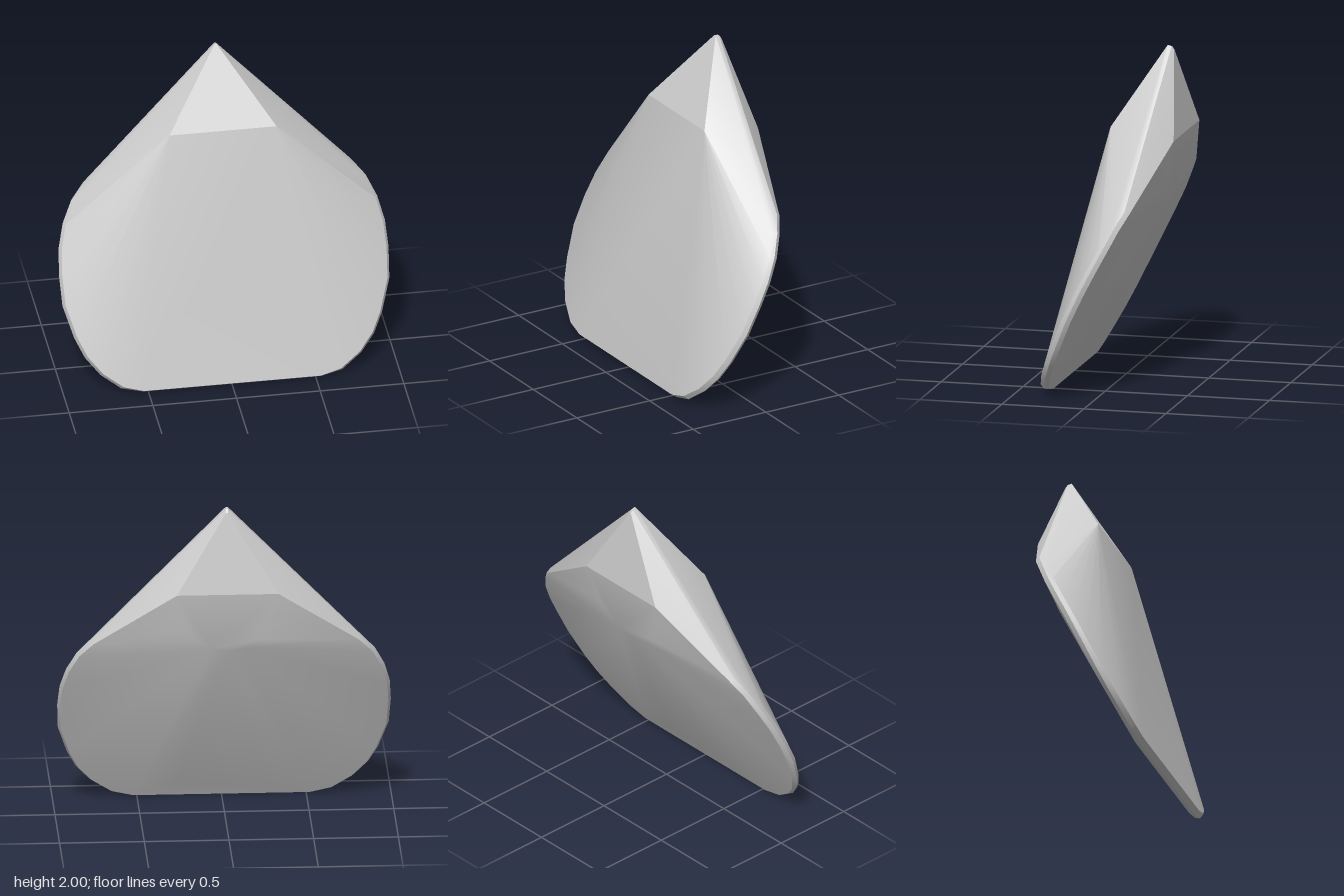
import * as THREE from 'three';
import { ConvexGeometry } from 'three/addons/geometries/ConvexGeometry.js';
import { toCreasedNormals } from 'three/addons/utils/BufferGeometryUtils.js';

export function createModel() {
  const group = new THREE.Group();
  const points = [];
  const add = (x, y, z) => points.push(new THREE.Vector3(x, y, z));
  const mirror = (x, y, z) => { add(x, y, z); add(-x, y, z); };

  // Rounded rim: each outline point gets an outer, a front and a back point
  const rim = [
    [0.80, 1.16, -0.195], [0.88, 1.07, -0.15], [0.94, 0.95, -0.095], [0.975, 0.82, -0.03],
    [0.985, 0.68, 0.04], [0.977, 0.51, 0.12], [0.92, 0.33, 0.2], [0.865, 0.22, 0.25],
    [0.78, 0.12, 0.295], [0.66, 0.035, 0.33], [0.53, 0.004, 0.335],
  ];
  const centre = new THREE.Vector2(0, 0.75);
  for (const [x, y, z] of rim) {
    const inward = centre.clone().sub(new THREE.Vector2(x, y)).normalize().multiplyScalar(0.016);
    mirror(x, y, z);
    mirror(x + inward.x, y + inward.y + 0.01, z + 0.025);
    mirror(x + inward.x, y + inward.y - 0.01, z - 0.025);
  }

  // Blunt tip
  mirror(0.006, 2, -0.25);
  mirror(0.006, 1.995, -0.275);
  mirror(0.006, 1.975, -0.29);

  // Front panel corners
  mirror(0.32, 1.56, 0.015);
  mirror(0.53, 0.025, 0.365);

  // Flat half-round boss on the back
  for (let i = 0; i <= 5; i++) {
    const a = (i / 5) * Math.PI / 2;
    const y = 1.49 - 0.38 * Math.sin(a);
    mirror(0.3 * Math.cos(a), y, -0.365 + (1.49 - y) * 0.197);
  }

  // Bevel along the lower back edge
  mirror(0.26, 0.1, 0.25);

  const geometry = toCreasedNormals(new ConvexGeometry(points), 0.3);
  const body = new THREE.Mesh(geometry, new THREE.MeshStandardMaterial({ color: 0xcccccc }));
  body.name = 'facetedBody';
  group.add(body);
  return group;
}
